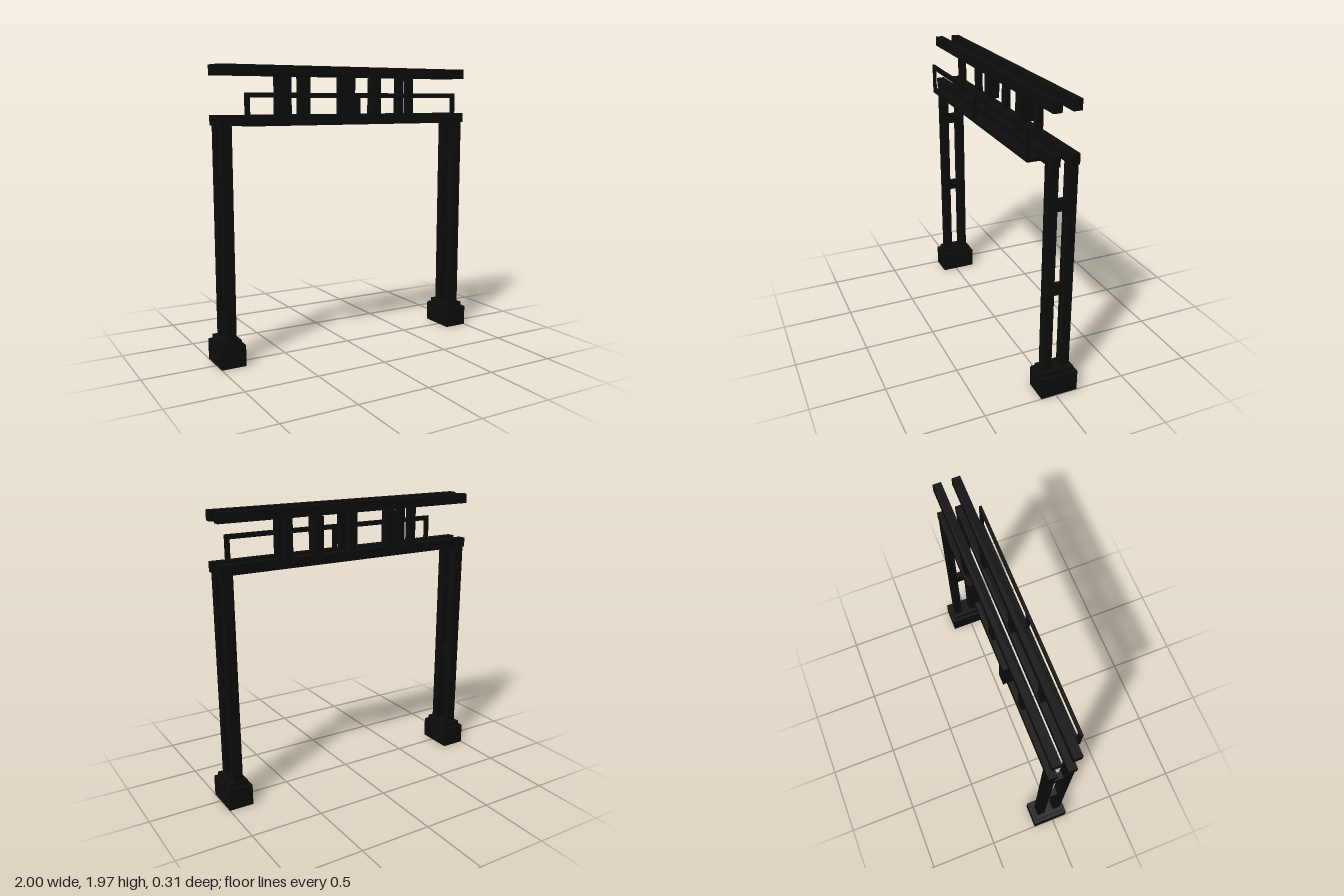
import * as THREE from 'three';

export function createModel() {
  const model = new THREE.Group();
  const black = new THREE.MeshStandardMaterial({ color: 0x0d0d0d });
  black.name = 'blackSteel';

  // Box given by its extents on each axis
  function box(name, [x0, x1], [y0, y1], [z0, z1], parent = model) {
    const mesh = new THREE.Mesh(new THREE.BoxGeometry(x1 - x0, y1 - y0, z1 - z0), black);
    mesh.position.set((x0 + x1) / 2, (y0 + y1) / 2, (z0 + z1) / 2);
    mesh.name = name;
    parent.add(mesh);
    return mesh;
  }
  const around = (c, w) => [c - w / 2, c + w / 2];

  const frontZ = [0.013, 0.07];
  const rearZ = [-0.114, -0.057];

  // Legs: stepped footing, twin columns and cross ties
  for (const side of [-1, 1]) {
    const leg = new THREE.Group();
    leg.name = side > 0 ? 'leftLeg' : 'rightLeg';
    model.add(leg);
    const x = side * 0.915;
    box('footing', around(x, 0.17), [0, 0.145], [-0.153, 0.105], leg);
    box('footingStep', around(x, 0.126), [0.145, 0.178], [-0.132, 0.085], leg);
    box('frontColumn', around(x, 0.068), [0.178, 1.58], frontZ, leg);
    box('rearColumn', around(x, 0.068), [0.178, 1.58], rearZ, leg);
    for (const y of [0.752, 1.323]) box('crossTie', around(x, 0.045), around(y, 0.07), [-0.057, 0.013], leg);
  }

  // Two parallel trusses: lower and upper beams joined by short posts
  for (const [label, z] of [['front', frontZ], ['rear', rearZ]]) {
    const truss = new THREE.Group();
    truss.name = label + 'Truss';
    model.add(truss);
    box('lowerBeam', [-0.964, 0.964], [1.58, 1.647], z, truss);
    box('upperBeam', [-0.964, 0.964], [1.9, 1.968], z, truss);
    const mid = (z[0] + z[1]) / 2;
    for (const x of [-0.485, 0, 0.485]) box('trussPost', around(x, 0.056), [1.647, 1.9], around(mid, 0.04), truss);
  }

  // Equipment boxes on the rear truss
  for (const x of [-0.287, 0.287]) box('rearBox', around(x, 0.068), [1.647, 1.9], [-0.147, -0.066]);

  // Walkway with guard rail
  const walkway = new THREE.Group();
  walkway.name = 'walkway';
  model.add(walkway);
  box('deck', [-0.82, 0.82], [1.579, 1.605], [0.07, 0.153], walkway);
  box('handRail', [-0.82, 0.82], [1.758, 1.79], [0.135, 0.153], walkway);
  for (const x of [-0.804, 0, 0.804]) box('railPost', around(x, 0.032), [1.605, 1.758], [0.135, 0.153], walkway);

  return model;
}
